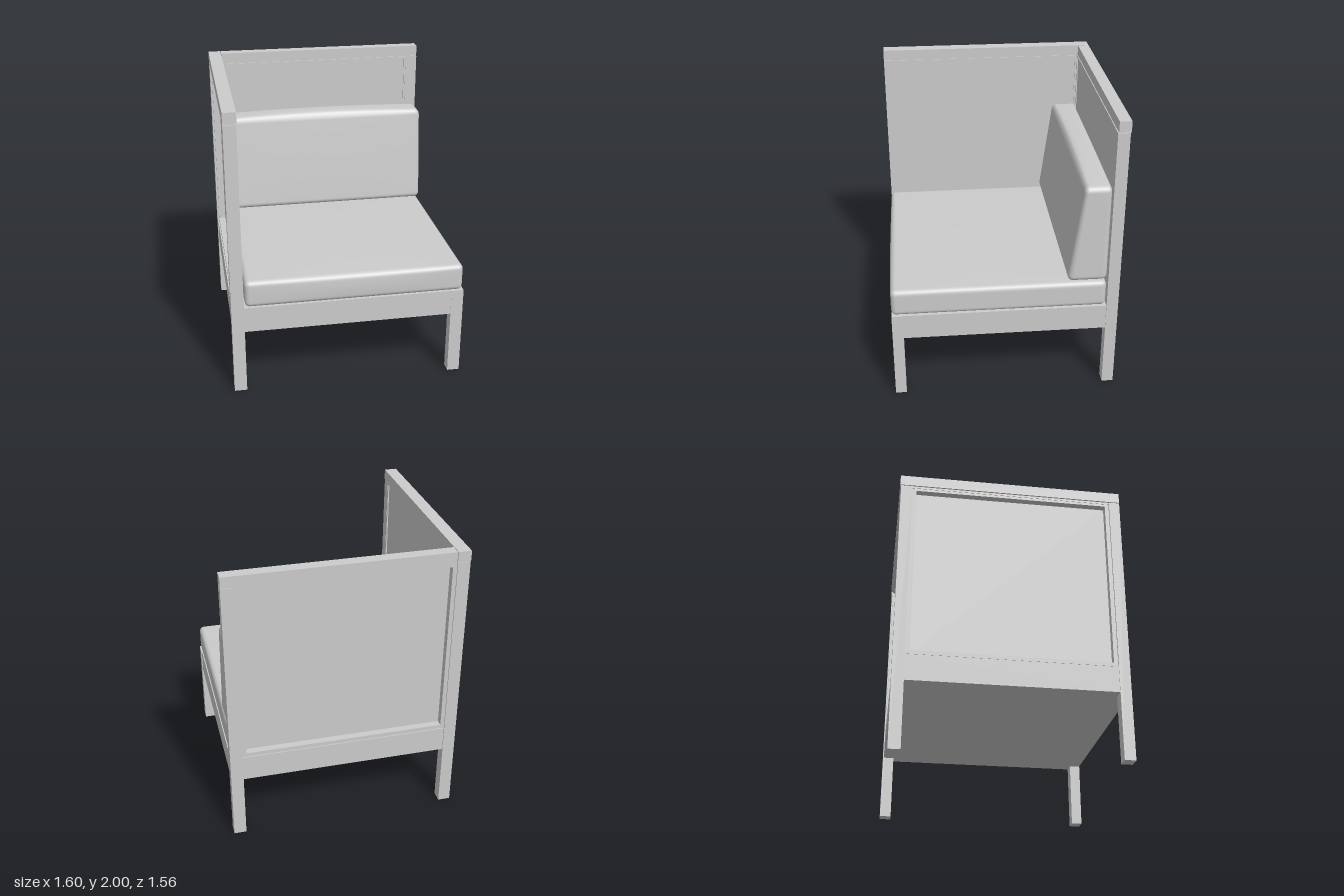
import * as THREE from 'three';
import { mergeVertices } from 'three/addons/utils/BufferGeometryUtils.js';

const material = new THREE.MeshStandardMaterial({ color: 0xcccccc });

function add(parent, name, geometry) {
  const mesh = new THREE.Mesh(geometry, material);
  mesh.name = name;
  parent.add(mesh);
  return mesh;
}

// Box given by its minimum and maximum on each axis
function slab(parent, name, [x0, x1], [y0, y1], [z0, z1]) {
  const mesh = add(parent, name, new THREE.BoxGeometry(x1 - x0, y1 - y0, z1 - z0));
  mesh.position.set((x0 + x1) / 2, (y0 + y1) / 2, (z0 + z1) / 2);
  return mesh;
}

// Soft rounded block, centred at the origin; crown swells the top, belly the front
function cushion(w, h, d, r, crown, belly) {
  const N = 22, E = 5;
  const geo = new THREE.BoxGeometry(2, 2, 2, N, N, N);
  geo.deleteAttribute('normal');
  geo.deleteAttribute('uv');
  const pos = geo.attributes.position;
  // the outer E grid steps at each end cover the rounded edge
  const spread = (u, half) => {
    const i = Math.round((Math.abs(u) * N) / 2);
    const flat = N / 2 - E;
    const p = i <= flat ? (i / flat) * (half - r) : half - r + (r * (i - flat)) / E;
    return Math.sign(u) * p;
  };
  const halves = [w / 2, h / 2, d / 2];
  for (let i = 0; i < pos.count; i++) {
    const p = new THREE.Vector3(...halves.map((s, k) => spread(pos.getComponent(i, k), s)));
    const inner = new THREE.Vector3(...halves.map((s, k) =>
      THREE.MathUtils.clamp(p.getComponent(k), r - s, s - r)));
    p.sub(inner).setLength(r).add(inner);
    const [a, b, c] = halves.map((s, k) => p.getComponent(k) / s);
    p.y += b > 0 ? crown * b * (1 - a * a) * (1 - c ** 4) : 0;
    p.z += c > 0 ? belly * c * (1 - a * a) * (1 - b * b) : 0;
    pos.setXYZ(i, p.x, p.y, p.z);
  }
  const merged = mergeVertices(geo, 1e-5);
  merged.computeVertexNormals();
  return merged;
}

// Framed wall panel, lying in xy with its outer side towards -z
function wallPanel(name, width, y0, y1) {
  const group = new THREE.Group();
  group.name = name;
  const rect = (path, m) => {
    const x = width / 2 - m;
    return path.moveTo(-x, y0 + m).lineTo(x, y0 + m).lineTo(x, y1 - m).lineTo(-x, y1 - m).closePath();
  };
  const ring = (part, width, z0, z1) => {
    const shape = rect(new THREE.Shape(), 0);
    shape.holes.push(rect(new THREE.Path(), width));
    add(group, part, new THREE.ExtrudeGeometry(shape, { depth: z1 - z0, bevelEnabled: false }))
      .position.z = z0;
  };
  ring('outerFrame', 0.028, -0.07, -0.016);
  ring('innerBead', 0.012, -0.016, 0);
  slab(group, 'panel', [-width / 2 + 0.005, width / 2 - 0.005], [y0 + 0.005, y1 - 0.005], [-0.022, -0.008]);
  return group;
}

export function createModel() {
  const model = new THREE.Group();
  const left = [0.715, 0.8], right = [-0.8, -0.715];
  const front = [0.695, 0.77], back = [-0.775, -0.695];

  // Legs: three rise to the top rails, one stops under the seat
  slab(model, 'frontLeftLeg', left, [0, 0.64], front);
  slab(model, 'frontRightPost', right, [0, 1.92], front);
  slab(model, 'backLeftPost', left, [0, 1.92], back);
  slab(model, 'backRightPost', right, [0, 1.92], back);

  // Seat base, notched around the four legs
  const xi = 0.715, xo = 0.795, zi = 0.695, zo = 0.768;
  const plan = new THREE.Shape([
    [xi, -zo], [xi, -zi], [xo, -zi], [xo, zi], [xi, zi], [xi, zo],
    [-xi, zo], [-xi, zi], [-xo, zi], [-xo, -zi], [-xi, -zi], [-xi, -zo],
  ].map(([x, y]) => new THREE.Vector2(x, y)));
  const base = new THREE.ExtrudeGeometry(plan, { depth: 0.18, bevelEnabled: false });
  base.rotateX(-Math.PI / 2);
  add(model, 'seatBase', base).position.y = 0.46;

  // Top rails
  slab(model, 'sideTopRail', [-0.8, -0.712], [1.925, 2], [-0.78, 0.77]);
  slab(model, 'backTopRail', [-0.708, 0.8], [1.925, 2], [-0.78, -0.7]);
  slab(model, 'sideRailJoint', [-0.79, -0.722], [1.91, 1.93], [-0.765, 0.76]);
  slab(model, 'backRailJoint', [-0.75, 0.79], [1.91, 1.93], [-0.765, -0.705]);

  // Back and side walls
  const backWall = wallPanel('backWall', 1.43, 0.645, 1.92);
  backWall.position.z = -0.697;
  model.add(backWall);
  const sideWall = wallPanel('sideWall', 1.39, 0.645, 1.92);
  sideWall.rotation.y = Math.PI / 2;
  sideWall.position.x = -0.717;
  model.add(sideWall);

  // Seat cushion
  add(model, 'seatCushion', cushion(1.5, 0.19, 1.46, 0.035, 0.01, 0.008))
    .position.set(0.043, 0.735, 0.04);

  // Back cushion, thinner towards the top with an upright rear face
  const h = 0.7, d = 0.27;
  const rest = cushion(1.5, h, d, 0.04, 0.022, 0.004);
  const pos = rest.attributes.position;
  for (let i = 0; i < pos.count; i++) {
    const t = pos.getY(i) / h + 0.5;
    pos.setZ(i, (pos.getZ(i) + d / 2) * (1 - 0.34 * t));
  }
  rest.computeVertexNormals();
  add(model, 'backCushion', rest).position.set(0.043, 0.842 + h / 2, -0.69);

  return model;
}
